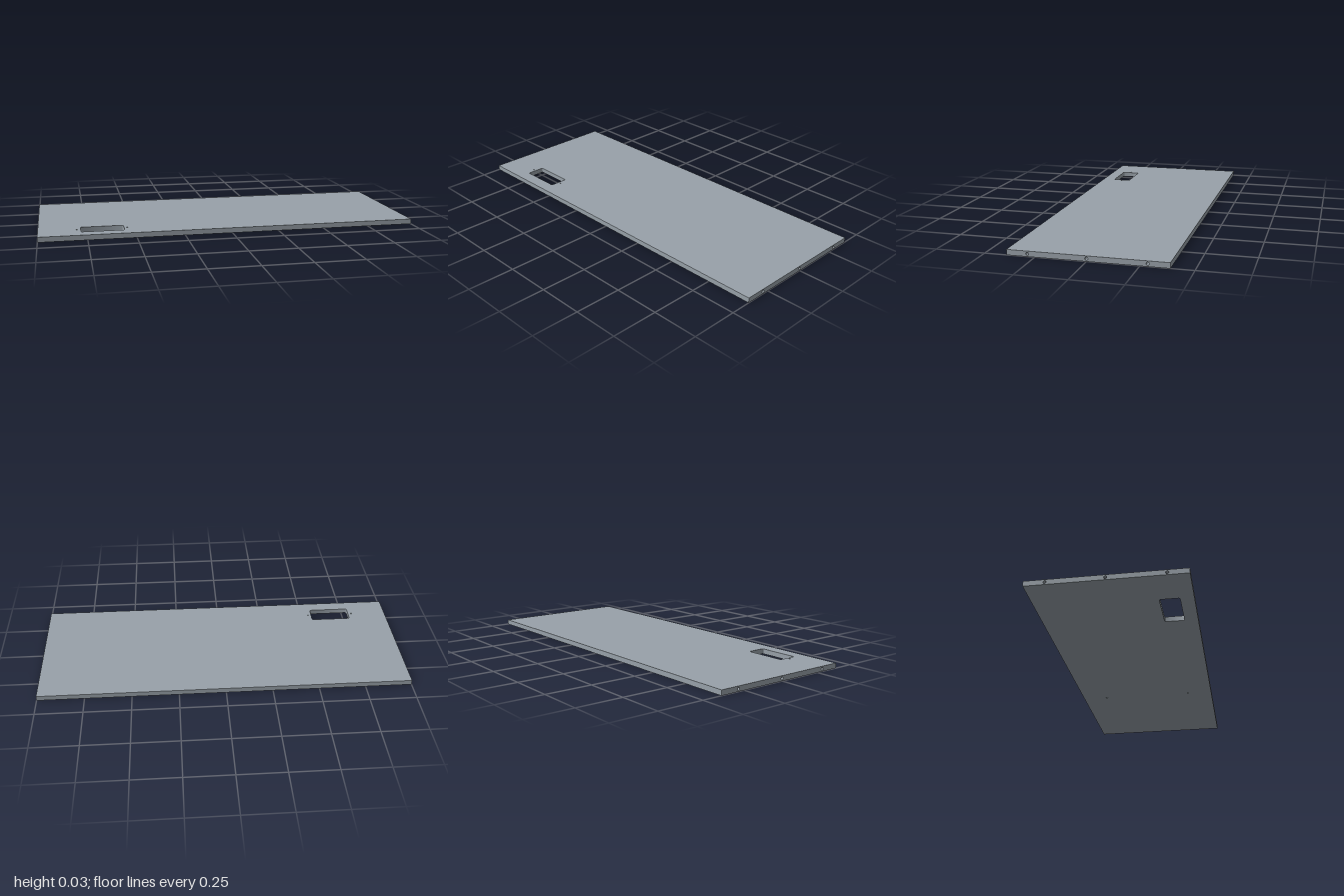
import * as THREE from 'three';
import { toCreasedNormals } from 'three/addons/utils/BufferGeometryUtils.js';

const W = 2, D = 0.78, H = 0.027;
const CUT = { x: -0.669, z: 0.271, w: 0.224, d: 0.1, r: 0.007 };
const screwHoles = [[-0.80, 0.27], [-0.54, 0.27]];
const undersideHoles = [[0.367, -0.25], [0.367, 0.25]];
const dowelZ = [-0.286, 0, 0.286];
const SCREW_R = 0.004, UNDERSIDE_R = 0.005, DOWEL_R = 0.0075;

const COLOR = 0x98a1a9;
const material = new THREE.MeshStandardMaterial({ color: COLOR });
const innerMaterial = new THREE.MeshStandardMaterial({ color: COLOR, side: THREE.DoubleSide });

function rectangle(w, h) {
  return new THREE.Shape([[-1, -1], [1, -1], [1, 1], [-1, 1]].map(
    ([a, b]) => new THREE.Vector2(a * w / 2, b * h / 2)));
}

function circle(x, y, r) {
  return new THREE.Path().absarc(x, y, r, 0, Math.PI * 2, true);
}

// Rounded rectangle of the cutout, centred on (x, y)
function cutoutPath(x, y) {
  const { w, d, r } = CUT, a = w / 2 - r, b = d / 2 - r, q = Math.PI / 2;
  const path = new THREE.Path();
  [[a, b], [-a, b], [-a, -b], [a, -b]].forEach(([cx, cy], i) =>
    path.absarc(x + cx, y + cy, r, i * q, (i + 1) * q, false));
  path.closePath();
  return path;
}

export function createModel() {
  const group = new THREE.Group();
  const add = (name, geometry, mat = material) => {
    const mesh = new THREE.Mesh(geometry, mat);
    mesh.name = name;
    group.add(mesh);
    return mesh;
  };

  // Broad faces with the cutout and screw holes
  const top = rectangle(W, D);
  top.holes.push(cutoutPath(CUT.x, -CUT.z));
  screwHoles.forEach(([x, z]) => top.holes.push(circle(x, -z, SCREW_R)));
  add('topFace', new THREE.ShapeGeometry(top, 10).rotateX(-Math.PI / 2).translate(0, H, 0));

  const bottom = rectangle(W, D);
  bottom.holes.push(cutoutPath(CUT.x, CUT.z));
  undersideHoles.forEach(([x, z]) => bottom.holes.push(circle(x, z, UNDERSIDE_R)));
  add('bottomFace', new THREE.ShapeGeometry(bottom, 10).rotateX(Math.PI / 2));

  // Long edges
  add('frontEdge', new THREE.PlaneGeometry(W, H).translate(0, H / 2, D / 2));
  add('backEdge', new THREE.PlaneGeometry(W, H).rotateY(Math.PI).translate(0, H / 2, -D / 2));

  // Blind hole: a cup opening along its local +y
  const blindHole = (name, r, depth) => {
    const profile = [[0, -depth], [r, -depth], [r, 0]].map(p => new THREE.Vector2(...p));
    return add(name, toCreasedNormals(new THREE.LatheGeometry(profile, 20), 0.8), innerMaterial);
  };

  // Short edges with dowel holes
  for (const side of [1, -1]) {
    const end = rectangle(D, H);
    dowelZ.forEach(z => end.holes.push(circle(z, 0, DOWEL_R)));
    add(side > 0 ? 'leftEdge' : 'rightEdge',
      new THREE.ShapeGeometry(end, 10).rotateY(side * Math.PI / 2).translate(side * W / 2, H / 2, 0));
    for (const z of dowelZ) {
      const hole = blindHole('dowelHole', DOWEL_R, 0.05);
      hole.rotation.z = -side * Math.PI / 2;
      hole.position.set(side * W / 2, H / 2, z);
    }
  }

  // Screw holes above and below
  for (const [x, z] of screwHoles) blindHole('screwHole', SCREW_R, 0.018).position.set(x, H, z);
  for (const [x, z] of undersideHoles) {
    const hole = blindHole('undersideHole', UNDERSIDE_R, 0.018);
    hole.rotation.x = Math.PI;
    hole.position.set(x, 0, z);
  }

  // Inner wall of the cutout
  const outline = cutoutPath(CUT.x, CUT.z).getPoints(10);
  const positions = [];
  outline.forEach((p, i) => {
    const q = outline[(i + 1) % outline.length];
    if (p.distanceTo(q) < 1e-6) return;
    positions.push(p.x, 0, p.y, q.x, 0, q.y, q.x, H, q.y, p.x, 0, p.y, q.x, H, q.y, p.x, H, p.y);
  });
  const wall = new THREE.BufferGeometry();
  wall.setAttribute('position', new THREE.Float32BufferAttribute(positions, 3));
  add('cutoutWall', toCreasedNormals(wall, 0.5), innerMaterial);

  return group;
}
